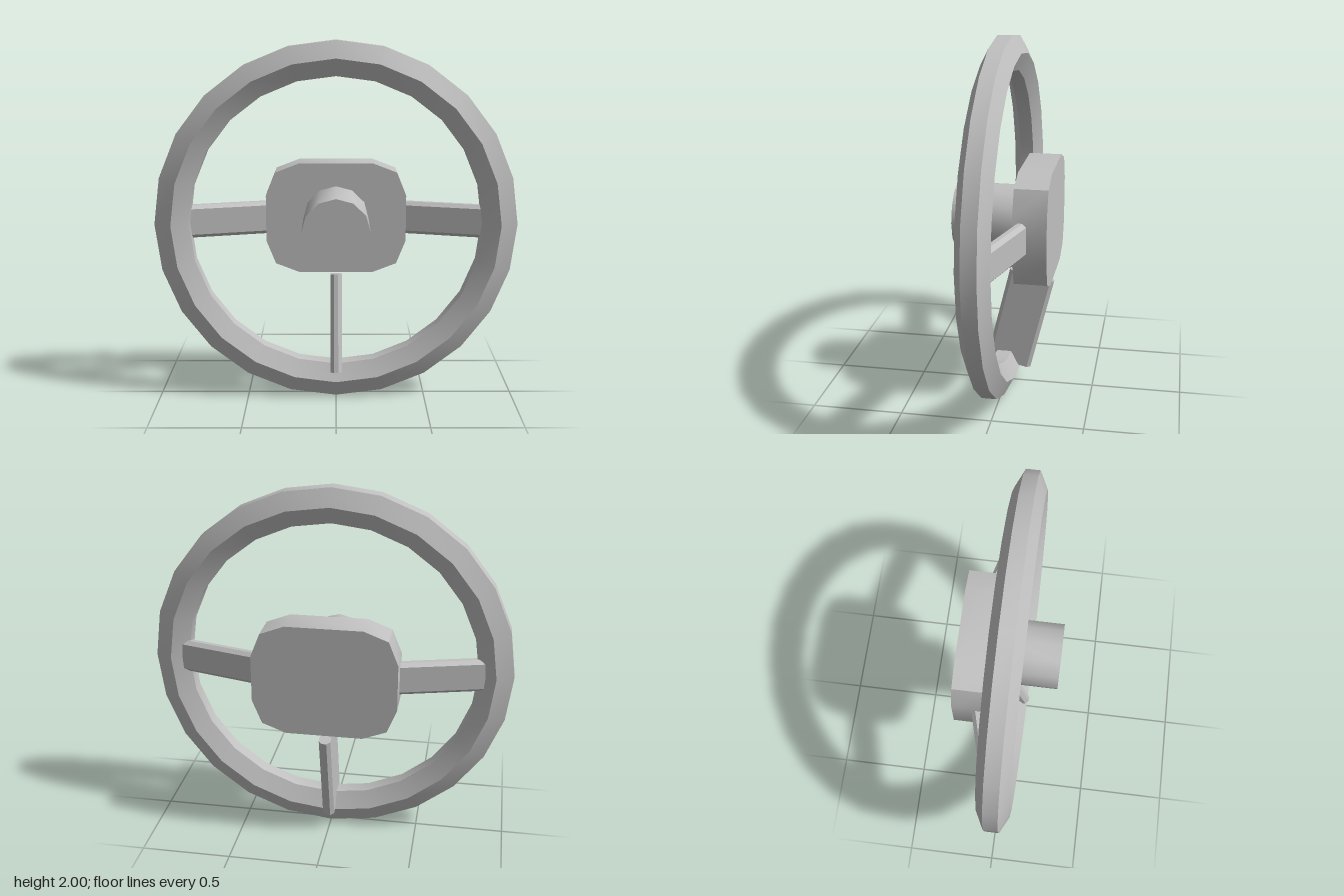
import * as THREE from 'three';
import { toCreasedNormals } from 'three/addons/utils/BufferGeometryUtils.js';

const CREASE = 0.6;
const CENTER_Y = 1;

export function createModel() {
  const group = new THREE.Group();
  const grey = new THREE.MeshStandardMaterial({ color: 0xc0c0c0 });
  grey.name = 'grey';

  const add = (name, geometry, x, y, z) => {
    const mesh = new THREE.Mesh(toCreasedNormals(geometry, CREASE), grey);
    mesh.name = name;
    mesh.position.set(x, y, z);
    group.add(mesh);
    return mesh;
  };

  // Rim: hexagonal section swept round in 24 segments
  const section = [
    [1, -0.04], [1, 0.04], [0.905, 0.088], [0.81, 0.04], [0.81, -0.04], [0.905, -0.088], [1, -0.04],
  ].map(([r, h]) => new THREE.Vector2(r, h));
  add('rim', new THREE.LatheGeometry(section, 24).rotateX(Math.PI / 2), 0, CENTER_Y, 0.01);

  // Hub pad: rounded rectangle plate
  const quarter = [[0.395, 0.13], [0.342, 0.262], [0.21, 0.313]];
  const flipped = quarter.slice().reverse();
  const outline = [
    ...quarter,
    ...flipped.map(([x, y]) => [-x, y]),
    ...quarter.map(([x, y]) => [-x, -y]),
    ...flipped.map(([x, y]) => [x, -y]),
  ].map(([x, y]) => new THREE.Vector2(x, y));
  const pad = new THREE.ExtrudeGeometry(new THREE.Shape(outline), { depth: 0.18, bevelEnabled: false });
  add('hubPad', pad, 0, CENTER_Y + 0.002, -0.275);

  // Steering column stub
  const column = new THREE.CylinderGeometry(0.184, 0.184, 0.37, 12).rotateX(Math.PI / 2);
  add('column', column, 0, CENTER_Y + 0.003, 0.09);

  // Spokes: bars with chamfered long edges, centred on their own length along z
  const bar = (width, height, length) => {
    const w = width / 2, h = height / 2, c = 0.02;
    const points = [
      [w, -h + c], [w, h - c], [w - c, h], [-w + c, h],
      [-w, h - c], [-w, -h + c], [-w + c, -h], [w - c, -h],
    ].map(([x, y]) => new THREE.Vector2(x, y));
    return new THREE.ExtrudeGeometry(new THREE.Shape(points), { depth: length, bevelEnabled: false })
      .translate(0, 0, -length / 2);
  };
  for (const [name, side] of [['leftSpoke', 1], ['rightSpoke', -1]]) {
    const geometry = bar(0.065, 0.185, 0.56).rotateY(side * (Math.PI / 2 - 0.26));
    add(name, geometry, side * 0.61, CENTER_Y + 0.003, -0.078);
  }
  add('bottomSpoke', bar(0.065, 0.257, 0.555).rotateX(Math.PI / 2 - 0.238), 0, 0.395, -0.08);

  return group;
}
